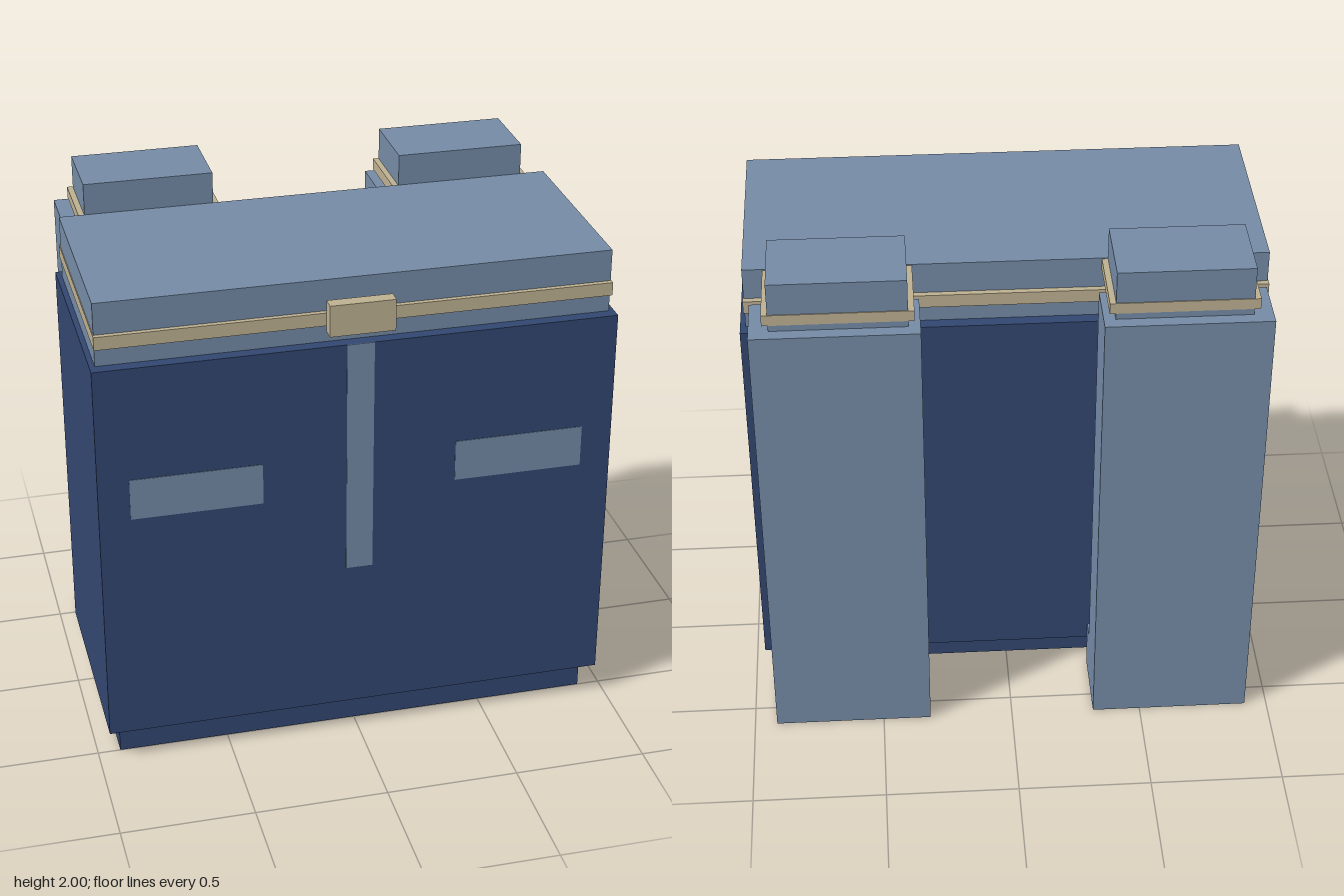
import * as THREE from 'three';

export function createModel() {
  const model = new THREE.Group();
  model.name = 'backpack';

  const material = (name, color) => {
    const m = new THREE.MeshStandardMaterial({ color });
    m.name = name;
    return m;
  };
  const navy = material('navy', 0x32466f);
  const slate = material('slate blue', 0x748aa5);
  const tan = material('tan', 0xbdb091);

  // Box given by its extents on each axis
  const box = (name, mat, [x0, x1], [y0, y1], [z0, z1], parent = model) => {
    const mesh = new THREE.Mesh(new THREE.BoxGeometry(x1 - x0, y1 - y0, z1 - z0), mat);
    mesh.name = name;
    mesh.position.set((x0 + x1) / 2, (y0 + y1) / 2, (z0 + z1) / 2);
    parent.add(mesh);
    return mesh;
  };

  // Bag body on a smaller base
  box('base', navy, [-0.915, 0.915], [0, 0.125], [-0.225, 0.5]);
  box('body', navy, [-0.96, 0.96], [0.125, 1.64], [-0.3, 0.563]);

  // Lid with its band and buckle
  box('lid', slate, [-0.94, 0.94], [1.64, 1.88], [-0.255, 0.518]);
  box('lidBand', tan, [-0.943, 0.943], [1.71, 1.76], [-0.277, 0.537]);
  box('buckleMount', tan, [-0.05, 0.05], [1.7, 1.785], [0.51, 0.545]);
  box('buckle', tan, [-0.12, 0.12], [1.69, 1.81], [0.54, 0.59]);

  // Painted front stripe
  box('frontStripe', slate, [-0.05, 0.05], [0.72, 1.64], [0.561, 0.565]);

  // Front patches and shoulder straps, mirrored
  for (const side of [-1, 1]) {
    const span = (a, b) => (side > 0 ? [a, b] : [-b, -a]);
    box('frontPatch', slate, span(0.36, 0.845), [1.04, 1.2], [0.561, 0.565]);

    const strap = new THREE.Group();
    strap.name = side > 0 ? 'leftStrap' : 'rightStrap';
    model.add(strap);
    box('strapPanel', slate, span(0.318, 0.915), [0, 1.81], [-0.59, -0.372], strap);
    box('strapFoot', slate, span(0.318, 0.915), [0, 0.195], [-0.372, -0.302], strap);
    box('strapTop', slate, span(0.36, 0.845), [1.81, 2], [-0.543, -0.253], strap);
    box('strapAnchor', slate, span(0.36, 0.845), [1.64, 1.81], [-0.3, -0.253], strap);
    box('strapBand', tan, span(0.338, 0.867), [1.835, 1.877], [-0.546, -0.256], strap);
  }
  return model;
}
